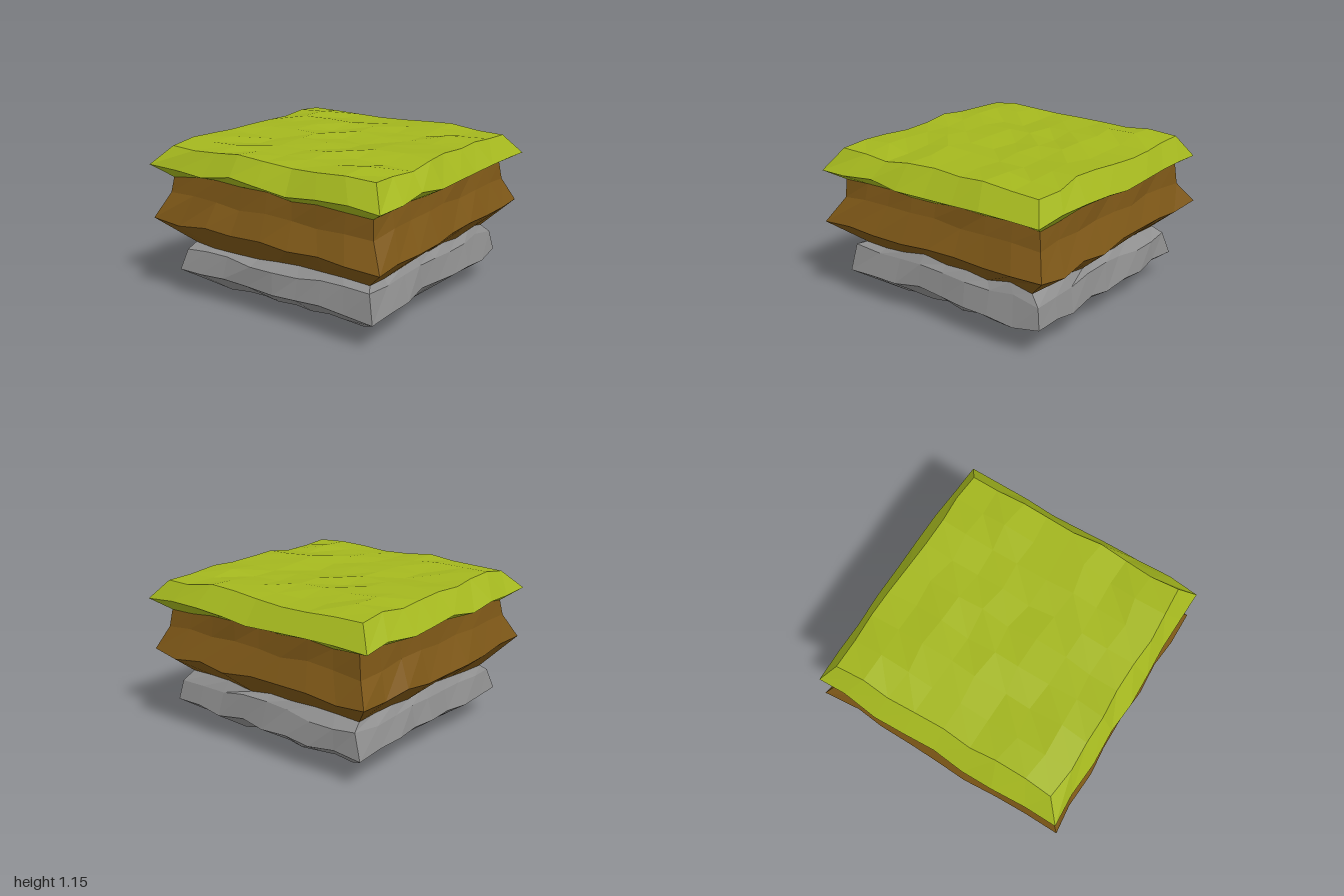
import * as THREE from 'three';

const N = 8; // segments per side

// Small seeded noise in -1..1
let seed = 7;
const noise = () => {
  seed = (seed * 16807) % 2147483647;
  return (seed / 2147483647) * 2 - 1;
};

// Wobbly square ring, counterclockwise from above, starting at the front left corner.
// front and right are optional height offsets in hundredths along those two edges.
function ring(hx, hz, y, wobble, front, right) {
  const points = [];
  for (let side = 0; side < 4; side++) {
    for (let i = 0; i < N; i++) {
      const t = (i / N) * 2 - 1;
      const [u, v] = [[t, 1], [1, -t], [-t, -1], [-1, t]][side];
      const table = side === 0 ? front : side === 1 ? right : null;
      const dy = table ? table[i] / 100 : noise() * 0.02;
      points.push(new THREE.Vector3(u * hx + noise() * wobble, y + dy, v * hz + noise() * wobble));
    }
  }
  return points;
}

// Lumpy grid of points that fills a ring
function capGrid(r, y, bump) {
  const grid = [];
  for (let j = 0; j <= N; j++) {
    for (let i = 0; i <= N; i++) {
      if (j === 0) grid.push(r[i]);
      else if (i === N) grid.push(r[N + j]);
      else if (j === N) grid.push(r[3 * N - i]);
      else if (i === 0) grid.push(r[4 * N - j]);
      else {
        const x = THREE.MathUtils.lerp(r[4 * N - j].x, r[N + j].x, i / N);
        const z = THREE.MathUtils.lerp(r[i].z, r[3 * N - i].z, j / N);
        grid.push(new THREE.Vector3(x + noise() * 0.012, y + noise() * bump, z + noise() * 0.02));
      }
    }
  }
  return grid;
}

// One stratum: walls between successive rings (bottom to top), plus optional caps
function layer(name, color, rings, { top, bottom } = {}) {
  const pos = [];
  const quad = (a, b, c, d) => [a, b, c, a, c, d].forEach((p) => pos.push(p.x, p.y, p.z));
  for (let k = 0; k + 1 < rings.length; k++) {
    const [lo, hi] = [rings[k], rings[k + 1]];
    lo.forEach((p, i) => {
      const n = (i + 1) % lo.length;
      quad(p, lo[n], hi[n], hi[i]);
    });
  }
  const cap = (grid, flip) => {
    for (let j = 0; j < N; j++) {
      for (let i = 0; i < N; i++) {
        const a = j * (N + 1) + i, d = a + N + 1;
        const c = [grid[a], grid[a + 1], grid[d + 1], grid[d]];
        quad(...(flip ? c.reverse() : c));
      }
    }
  };
  if (top) cap(top, false);
  if (bottom) cap(bottom, true);
  const geometry = new THREE.BufferGeometry();
  geometry.setAttribute('position', new THREE.Float32BufferAttribute(pos, 3));
  geometry.computeVertexNormals();
  const mesh = new THREE.Mesh(geometry, new THREE.MeshStandardMaterial({ color, flatShading: true }));
  mesh.name = name;
  return mesh;
}

export function createModel() {
  seed = 7;
  const group = new THREE.Group();
  group.name = 'groundBlock';

  // Rock rings
  const rockBase = ring(0.57, 0.56, 0.02, 0.015,
    [-1, 0, 1, 0, 1, 0, 1, 1, -1], [-1, 1, 0, 1, -1, 1, 0, 1, 0]);
  const rockBelly = ring(0.84, 0.84, 0.205, 0.015,
    [0, 0, 1, 0, -1, 0, 2, 1, -1], [-1, 0, 0, 3, 1, 0, 0, -2, -3]);
  const rockShoulder = ring(0.8, 0.81, 0.375, 0.015,
    [-2, 0, 0, -2, -2, -2, 1, 2, 2], [2, 0, 1, 2, 1, 0, 0, 2, 1]);

  // Soil rings; the lowest one is the seam with the rock
  const rockSeam = ring(0.76, 0.75, 0.42, 0.012,
    [-2, -3, -3, -3, -1, 0, 0, 1, 1], [0, -1, 1, 4, 1, 2, 0, 4, 1]);
  const soilRim = ring(0.955, 0.955, 0.6, 0.018,
    [1, -2, 2, 0, 1, 0, 1, 0, -1], [-1, 0, -1, -1, 0, 1, 0, 1, 2]);
  const soilNeck = ring(0.865, 0.865, 0.78, 0.01);

  // Grass rings; the lowest one is the seam with the soil
  const grassSeam = ring(0.85, 0.85, 0.92, 0.012,
    [-2, 1, 2, 1, 1, -2, 0, -1, -2], [-2, -1, -1, -2, -2, 0, -1, 1, 2]);
  const grassRim = ring(0.98, 0.955, 0.985, 0.014,
    [1, 0, -1, 3, 1, -2, 0, 1, -1], [-1, 0, 2, -1, -1, -1, 0, 0, -1]);
  const grassTop = ring(0.855, 0.85, 1.135, 0.015,
    [-1, -1, 0, 2, 0, -1, 0, 1, 0], [0, -1, -2, 1, 1, 0, 1, -1, 0]);

  group.add(
    layer('rockLayer', 0x8f8f8f, [rockBase, rockBelly, rockShoulder, rockSeam],
      { bottom: capGrid(rockBase, 0.022, 0.015) }),
    layer('soilLayer', 0x7d5717, [rockSeam, soilRim, soilNeck, grassSeam]),
    layer('grassLayer', 0xa3b61e, [grassSeam, grassRim, grassTop],
      { top: capGrid(grassTop, 1.14, 0.022) }),
  );
  return group;
}
